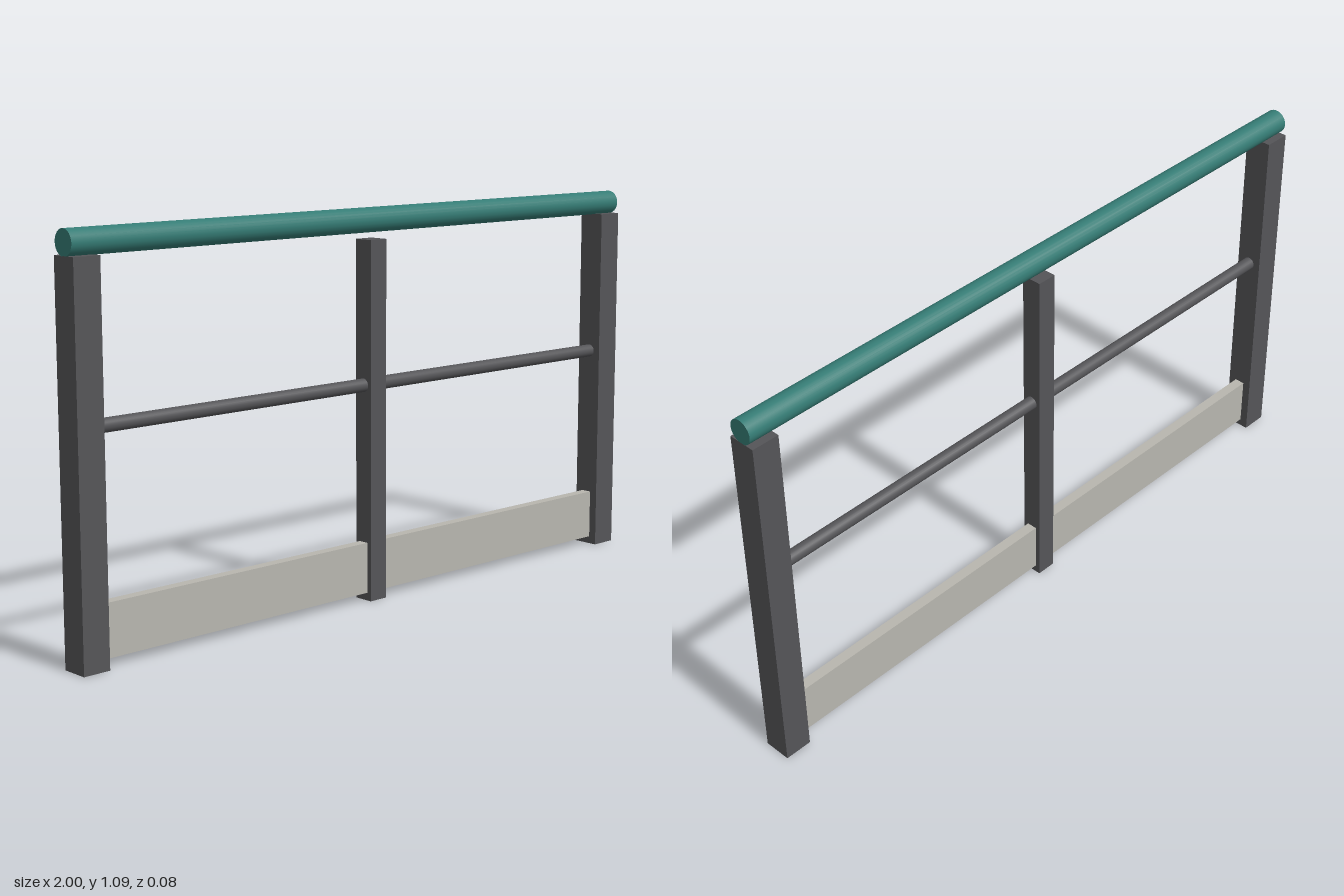
import * as THREE from 'three';

function material(name, color) {
  const m = new THREE.MeshStandardMaterial({ color });
  m.name = name;
  return m;
}

export function createModel() {
  const group = new THREE.Group();
  group.name = 'guardRail';
  const steel = material('dark grey steel', 0x555558);
  const teal = material('teal', 0x357c75);
  const board = material('pale grey', 0xb8b6af);

  const add = (name, geometry, mat, x, y) => {
    const mesh = new THREE.Mesh(geometry, mat);
    mesh.name = name;
    mesh.position.set(x, y, 0);
    group.add(mesh);
  };
  // Round bar lying along x
  const bar = (radius, length) =>
    new THREE.CylinderGeometry(radius, radius, length, 24).rotateZ(Math.PI / 2);

  const postW = 0.078, postH = 1.02, midW = 0.058, midH = 1.0;
  const postX = 1 - postW / 2;
  const span = 1 - postW - midW / 2; // clear gap between posts
  const spanX = midW / 2 + span / 2;

  // Both halves: end post, middle bar and toe board
  for (const [side, s] of [['left', 1], ['right', -1]]) {
    add(side + 'EndPost', new THREE.BoxGeometry(postW, postH, postW), steel, s * postX, postH / 2);
    add(side + 'MidBar', bar(0.0185, span), steel, s * spanX, 0.603);
    add(side + 'ToeBoard', new THREE.BoxGeometry(span, 0.142, 0.03), board, s * spanX, 0.093);
  }

  // Shorter centre post, stopping just under the handrail
  add('centrePost', new THREE.BoxGeometry(midW, midH, midW), steel, 0, midH / 2);

  // Handrail resting on the end posts
  add('handrail', bar(0.034, 2), teal, 0, 1.052);

  return group;
}
